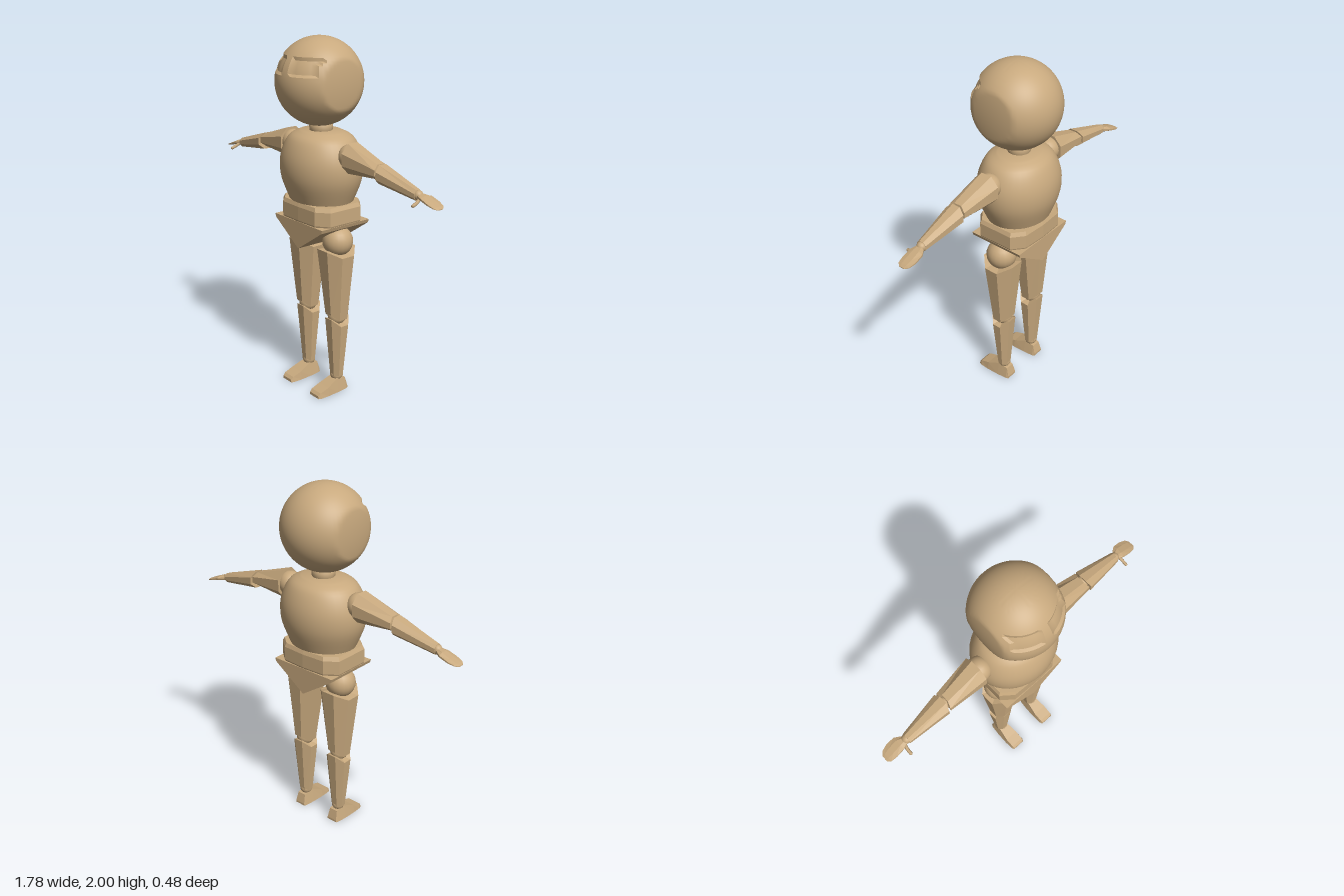
import * as THREE from 'three';
import { mergeVertices, toCreasedNormals } from 'three/addons/utils/BufferGeometryUtils.js';

const wood = new THREE.MeshStandardMaterial({ color: 0xc8a97e });
wood.name = 'tanWood';

function add(parent, name, geometry, x = 0, y = 0, z = 0) {
  const mesh = new THREE.Mesh(geometry, wood);
  mesh.name = name;
  mesh.position.set(x, y, z);
  parent.add(mesh);
  return mesh;
}

// Faceted solid through matching rings of points, capped at both ends, always facing outward
function loft(rings) {
  const tris = [], n = rings[0].length;
  const middle = r => r.reduce((s, p) => s.add(p), new THREE.Vector3()).divideScalar(n);
  const first = middle(rings[0]), last = middle(rings[rings.length - 1]);
  for (let i = 0; i < n; i++) {
    const j = (i + 1) % n;
    for (let k = 0; k + 1 < rings.length; k++) {
      const a = rings[k], b = rings[k + 1];
      tris.push([a[i], a[j], b[j]], [a[i], b[j], b[i]]);
    }
    tris.push([first, rings[0][j], rings[0][i]]);
    tris.push([last, rings[rings.length - 1][i], rings[rings.length - 1][j]]);
  }
  let volume = 0;
  for (const [a, b, c] of tris) volume += a.clone().sub(first).dot(b.clone().sub(first).cross(c.clone().sub(first)));
  const points = tris.flatMap(t => (volume < 0 ? [t[0], t[2], t[1]] : t));
  const g = new THREE.BufferGeometry().setFromPoints(points);
  g.computeVertexNormals();
  return g;
}

// Eight-sided ring; width axis w, second axis z, sides slide by 'sag' along the limb
function ring(limbAxis, x, y, z, half, halfZ, sag = 0) {
  const pts = [];
  for (let i = 0; i < 8; i++) {
    const t = (i + 0.5) * Math.PI / 4, c = Math.cos(t) / 0.924, s = Math.sin(t) / 0.924;
    pts.push(limbAxis === 'y'
      ? new THREE.Vector3(x + c * half, y - sag * Math.abs(c), z + s * halfZ)
      : new THREE.Vector3(x + sag * Math.abs(s), y + c * half, z + s * halfZ));
  }
  return pts;
}

const ball = r => new THREE.SphereGeometry(r, 20, 14);

// Round head with flattened cheeks and two shallow eye sockets
function headGeometry() {
  let g = new THREE.SphereGeometry(0.238, 64, 48);
  g.deleteAttribute('uv');
  g.deleteAttribute('normal');
  g = mergeVertices(g, 1e-5);
  const p = g.attributes.position, v = new THREE.Vector3();
  for (let i = 0; i < p.count; i++) {
    v.fromBufferAttribute(p, i);
    const ax = Math.abs(v.x);
    const inSocket = v.z > 0 && ax > 0.025 && ax < 0.165 && Math.abs(v.y - 0.1) < 0.043;
    if (inSocket) v.multiplyScalar(0.955);
    if (ax > 0.195) v.x = Math.sign(v.x) * (0.195 + (ax - 0.195) * 0.3);
    p.setXYZ(i, v.x, v.y, v.z);
  }
  g.computeVertexNormals();
  return toCreasedNormals(g, 0.5);
}

// Waist ring: broad block with bevelled corners
function waistRing(y, k) {
  const half = [[0, 0.15], [0.14, 0.145], [0.207, 0.09], [0.207, -0.12], [0.14, -0.175], [0, -0.183]];
  const outline = [...half, ...half.slice(1, 5).reverse().map(([x, z]) => [-x, z])];
  return outline.map(([x, z]) => new THREE.Vector3(x * k, y, (z + 0.016) * k - 0.016));
}

function buildArm(parent, s) {
  const arm = new THREE.Group();
  arm.name = s > 0 ? 'leftArm' : 'rightArm';
  parent.add(arm);
  const tube = rows => loft(rows.map(r => ring('x', ...r).map(p => p.setX(p.x * s))));
  add(arm, 'shoulder', ball(0.068), s * 0.245, 1.395, -0.012);
  add(arm, 'upperArm', tube([[0.262, 1.393, -0.012, 0.08, 0.077], [0.47, 1.365, -0.01, 0.038, 0.054, 0.02]]));
  add(arm, 'elbow', ball(0.036), s * 0.49, 1.358, -0.01);
  add(arm, 'forearm', tube([[0.482, 1.355, -0.01, 0.048, 0.058, 0.02], [0.745, 1.3, -0.012, 0.027, 0.028]]));
  add(arm, 'wrist', ball(0.026), s * 0.745, 1.3, -0.013);
  // Flat mitten hand sloping down to the fingertips
  add(arm, 'hand', tube([
    [0.75, 1.298, -0.014, 0.015, 0.02], [0.79, 1.293, -0.022, 0.013, 0.04],
    [0.84, 1.277, -0.022, 0.009, 0.042], [0.875, 1.266, -0.02, 0.005, 0.035],
    [0.89, 1.26, -0.018, 0.002, 0.018]]));
  const thumb = new THREE.CatmullRomCurve3([[0.768, 1.29, 0.0], [0.775, 1.275, 0.025], [0.776, 1.265, 0.052]]
    .map(([x, y, z]) => new THREE.Vector3(s * x, y, z)));
  add(arm, 'thumb', new THREE.TubeGeometry(thumb, 4, 0.009, 6));
  add(arm, 'thumbTip', new THREE.SphereGeometry(0.009, 6, 5), s * 0.776, 1.265, 0.052);
}

function buildLeg(parent, s) {
  const leg = new THREE.Group();
  leg.name = s > 0 ? 'leftLeg' : 'rightLeg';
  leg.position.x = 0.012;
  parent.add(leg);
  const tube = rows => loft(rows.map(([x, ...r]) => ring('y', s * x, ...r)));
  add(leg, 'hip', ball(0.085), s * 0.135, 0.905, -0.01);
  add(leg, 'thigh', tube([[0.125, 0.89, -0.008, 0.103, 0.1, 0.055], [0.13, 0.505, -0.012, 0.058, 0.064, 0.055]]));
  add(leg, 'knee', ball(0.052), s * 0.13, 0.46, -0.012);
  add(leg, 'shin', tube([[0.128, 0.48, -0.014, 0.068, 0.063, 0.065], [0.128, 0.095, -0.014, 0.039, 0.034]]));
  add(leg, 'ankle', ball(0.037), s * 0.127, 0.095, -0.014);
  // Wedge foot: heel, ankle top, instep and toe slices
  const slice = ([z, h, top, bottom]) => [[-bottom, 0], [bottom, 0], [top, h], [-top, h]]
    .map(([x, y]) => new THREE.Vector3(s * 0.127 + x, y, z));
  add(leg, 'foot', loft([
    [-0.07, 0.012, 0.032, 0.034], [-0.055, 0.068, 0.026, 0.04], [0.005, 0.08, 0.03, 0.046],
    [0.08, 0.048, 0.041, 0.049], [0.135, 0.03, 0.04, 0.047], [0.15, 0.016, 0.036, 0.04]].map(slice)));
}

export function createModel() {
  const model = new THREE.Group();
  model.name = 'jointedFigure';

  add(model, 'head', headGeometry(), 0, 1.765, 0);
  add(model, 'neck', new THREE.LatheGeometry([[0.055, 0], [0.064, 0.02], [0.064, 0.045], [0.05, 0.07]]
    .map(([r, y]) => new THREE.Vector2(r, y)), 24), 0, 1.485, -0.012);

  // Barrel chest, slightly shallower than wide
  const profile = new THREE.SplineCurve([[0.125, 1.5], [0.19, 1.468], [0.232, 1.4], [0.25, 1.32], [0.24, 1.23], [0.195, 1.12]]
    .map(([r, y]) => new THREE.Vector2(r, y))).getPoints(20).reverse();
  const chest = new THREE.LatheGeometry([new THREE.Vector2(0, 1.115), ...profile, new THREE.Vector2(0, 1.502)], 40);
  chest.scale(1, 1, 0.85);
  add(model, 'chest', toCreasedNormals(chest, 0.6), 0, 0, -0.014);

  add(model, 'waist', loft([[1.0, 0.97], [1.018, 1], [1.095, 1], [1.117, 0.95]].map(r => waistRing(...r))));

  // Triangular pelvis block running front to back
  const vee = new THREE.Shape([[-0.207, 1.01], [-0.2, 0.99], [0, 0.855], [0.2, 0.99], [0.207, 1.01]]
    .map(([x, y]) => new THREE.Vector2(x, y)));
  add(model, 'pelvis', new THREE.ExtrudeGeometry(vee, { depth: 0.333, bevelEnabled: false }), 0, 0, -0.183);

  for (const s of [1, -1]) {
    buildArm(model, s);
    buildLeg(model, s);
  }
  return model;
}
